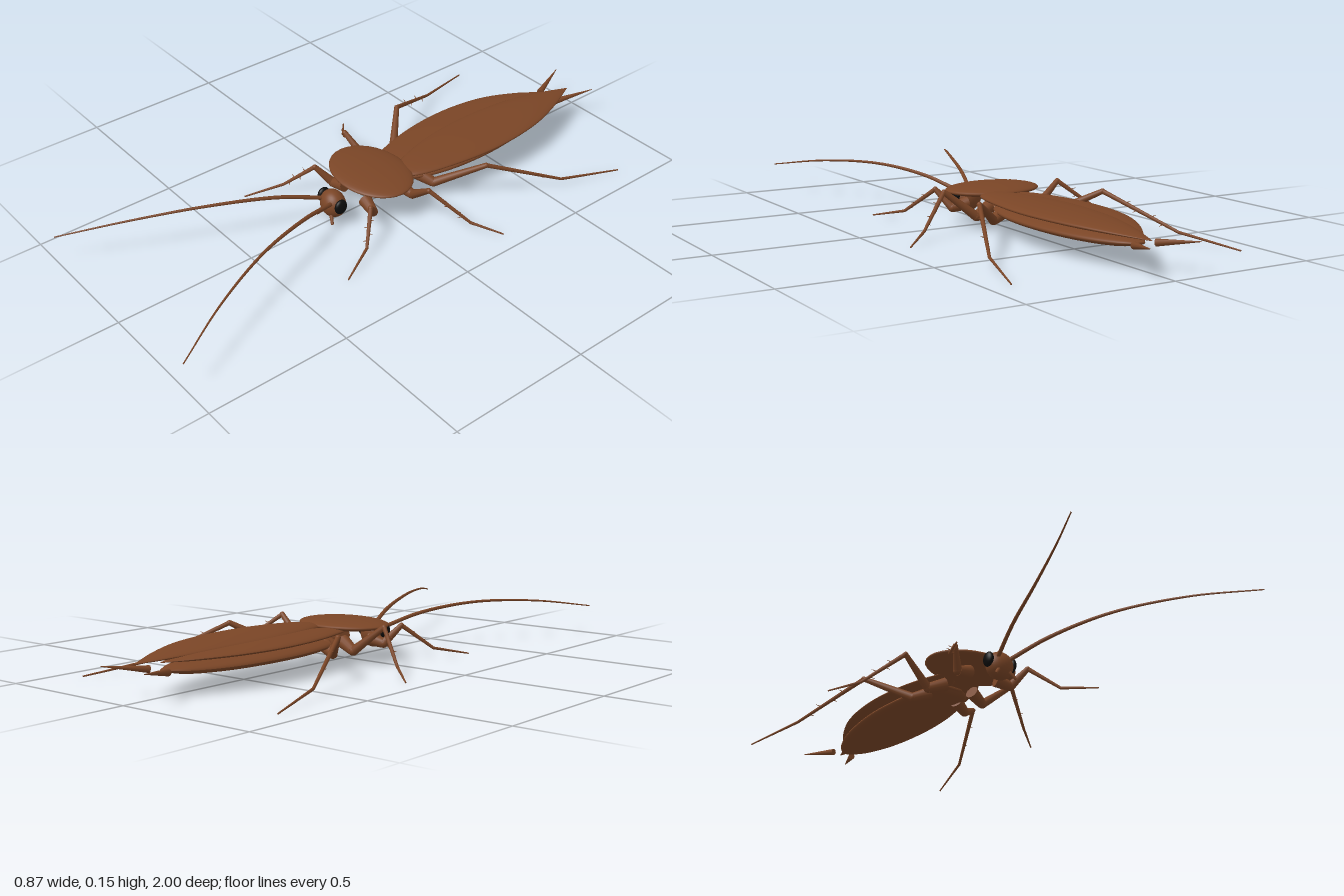
import * as THREE from 'three';

const V = (x, y, z) => new THREE.Vector3(x, y, z);

export function createModel() {
  const model = new THREE.Group();
  model.name = 'cockroach';
  const brown = new THREE.MeshStandardMaterial({ color: 0x7a4526 });
  brown.name = 'chestnut brown';
  const black = new THREE.MeshStandardMaterial({ color: 0x0c0c0c });
  black.name = 'eye black';

  function add(name, geometry, parent = model, material = brown) {
    const mesh = new THREE.Mesh(geometry, material);
    mesh.name = name;
    parent.add(mesh);
    return mesh;
  }

  function ellipsoid(name, center, radii, parent, material) {
    const g = new THREE.SphereGeometry(1, 32, 20);
    g.scale(...radii);
    g.translate(...center);
    return add(name, g, parent, material);
  }

  // Tapered round segment from a to b, with optional round ends
  function segment(name, a, b, ra, rb, parent, sides = 10) {
    const d = b.clone().sub(a);
    const g = new THREE.CylinderGeometry(rb, ra, d.length(), sides);
    g.applyQuaternion(new THREE.Quaternion().setFromUnitVectors(V(0, 1, 0), d.normalize()));
    const mid = a.clone().add(b).multiplyScalar(0.5);
    g.translate(mid.x, mid.y, mid.z);
    return add(name, g, parent);
  }

  // Lens-section body along z: rows of [z, edge x, other edge x, half height, middle y]
  function lens(name, rows) {
    const sides = new THREE.CatmullRomCurve3(rows.map(r => V(r[1], r[2], r[0])));
    const heights = new THREE.CatmullRomCurve3(rows.map(r => V(r[3], r[4], r[0])));
    const g = new THREE.SphereGeometry(1, 32, 40).rotateX(Math.PI / 2);
    const p = g.attributes.position;
    for (let i = 0; i < p.count; i++) {
      const t = THREE.MathUtils.clamp((1 - p.getZ(i)) / 2, 0, 1);
      const r = Math.max(Math.hypot(p.getX(i), p.getY(i)), 1e-6);
      const s = sides.getPoint(t), h = heights.getPoint(t);
      const x = (s.x + s.y) / 2 + (p.getX(i) / r) * (s.y - s.x) / 2;
      p.setXYZ(i, x, h.y + (p.getY(i) / r) * h.x, s.z);
    }
    g.computeVertexNormals();
    return add(name, g);
  }

  // Body
  ellipsoid('pronotum', [0, 0.125, -0.005], [0.17, 0.02, 0.125]);
  lens('abdomen', [
    [-0.10, -0.03, 0.03, 0.004, 0.085],
    [-0.13, -0.07, 0.07, 0.016, 0.08],
    [-0.25, -0.11, 0.11, 0.023, 0.078],
    [-0.45, -0.125, 0.125, 0.025, 0.078],
    [-0.65, -0.10, 0.10, 0.022, 0.078],
    [-0.78, -0.055, 0.055, 0.015, 0.08],
    [-0.84, -0.015, 0.015, 0.004, 0.083],
  ]);

  // Overlapping wings, the left lying over the right
  lens('leftWing', [
    [-0.06, 0.04, 0.07, 0.002, 0.118],
    [-0.12, 0.012, 0.115, 0.012, 0.122],
    [-0.27, -0.03, 0.155, 0.016, 0.126],
    [-0.45, -0.05, 0.17, 0.017, 0.126],
    [-0.65, -0.038, 0.147, 0.015, 0.124],
    [-0.80, -0.01, 0.095, 0.01, 0.118],
    [-0.93, 0.029, 0.031, 0.001, 0.11],
  ]);
  lens('rightWing', [
    [-0.06, -0.06, -0.03, 0.002, 0.112],
    [-0.12, -0.085, 0.01, 0.01, 0.114],
    [-0.27, -0.125, 0.045, 0.014, 0.116],
    [-0.45, -0.14, 0.06, 0.015, 0.116],
    [-0.62, -0.118, 0.055, 0.013, 0.115],
    [-0.75, -0.065, 0.035, 0.009, 0.112],
    [-0.85, -0.003, 0.003, 0.001, 0.108],
  ]);

  // Head
  const head = new THREE.Group();
  head.name = 'head';
  model.add(head);
  ellipsoid('skull', [0, 0.069, 0.16], [0.05, 0.049, 0.041], head);

  // Leg joints for the left side: coxa start, hip, knee, ankle, tip
  const legs = {
    front: [V(0.055, 0.068, 0.065), V(0.11, 0.055, 0.075), V(0.152, 0.116, 0.12), V(0.23, 0.035, 0.2), V(0.29, 0.006, 0.325)],
    middle: [V(0.055, 0.075, -0.075), V(0.115, 0.052, -0.095), V(0.225, 0.14, -0.07), V(0.345, 0.036, -0.155), V(0.432, 0.006, -0.225)],
    hind: [V(0.055, 0.075, -0.17), V(0.11, 0.055, -0.195), V(0.237, 0.139, -0.32), V(0.355, 0.032, -0.575), V(0.42, 0.006, -0.8)],
  };

  for (const s of [1, -1]) {
    const side = s > 0 ? 'left' : 'right';
    const m = v => V(v.x * s, v.y, v.z);

    ellipsoid(side + 'Eye', [s * 0.047, 0.08, 0.163], [0.014, 0.027, 0.024], head, black);
    segment(side + 'Palp', m(V(0.022, 0.042, 0.185)), m(V(0.042, 0.018, 0.196)), 0.007, 0.005, head);

    // Tapering antenna
    const path = new THREE.CatmullRomCurve3([
      V(0.025, 0.09, 0.19), V(0.075, 0.128, 0.33), V(0.155, 0.15, 0.55), V(0.265, 0.139, 0.79), V(0.38, 0.107, 1),
    ].map(m));
    const count = 32;
    const g = new THREE.TubeGeometry(path, count, 1, 8);
    const p = g.attributes.position;
    for (let i = 0; i < p.count; i++) {
      const t = Math.floor(i / 9) / count;
      const c = path.getPointAt(t);
      const q = V().fromBufferAttribute(p, i).sub(c).multiplyScalar(0.0075 - 0.0055 * t).add(c);
      p.setXYZ(i, q.x, q.y, q.z);
    }
    add(side + 'Antenna', g, head);

    // Tail cercus
    segment(side + 'Cercus', m(V(0.04, 0.085, -0.86)), m(V(0.093, 0.107, -1)), 0.012, 0.001, model);

    // Legs
    for (const [name, joints] of Object.entries(legs)) {
      const leg = new THREE.Group();
      leg.name = `${side}${name[0].toUpperCase()}${name.slice(1)}Leg`;
      model.add(leg);
      const [root, hip, knee, ankle, tip] = joints.map(m);
      segment('coxa', root, hip, 0.024, 0.017, leg, 14);
      ellipsoid('hip', hip.toArray(), [0.016, 0.016, 0.016], leg);
      segment('femur', hip, knee, 0.016, 0.009, leg);
      ellipsoid('knee', knee.toArray(), [0.009, 0.009, 0.009], leg);
      segment('tibia', knee, ankle, 0.008, 0.005, leg);
      ellipsoid('ankle', ankle.toArray(), [0.005, 0.005, 0.005], leg);
      segment('tarsus', ankle, tip, 0.005, 0.0025, leg, 8);

      // Spines along the shin
      for (let i = 0; i < 4; i++) {
        const a = knee.clone().lerp(ankle, 0.3 + i * 0.17);
        const b = a.clone().add(V(s * (i % 2 ? -0.014 : 0.02), i % 2 ? -0.008 : 0.006, i % 2 ? 0.01 : -0.004));
        segment('spine', a, b, 0.0025, 0.0004, leg, 5);
      }
    }
  }
  return model;
}
